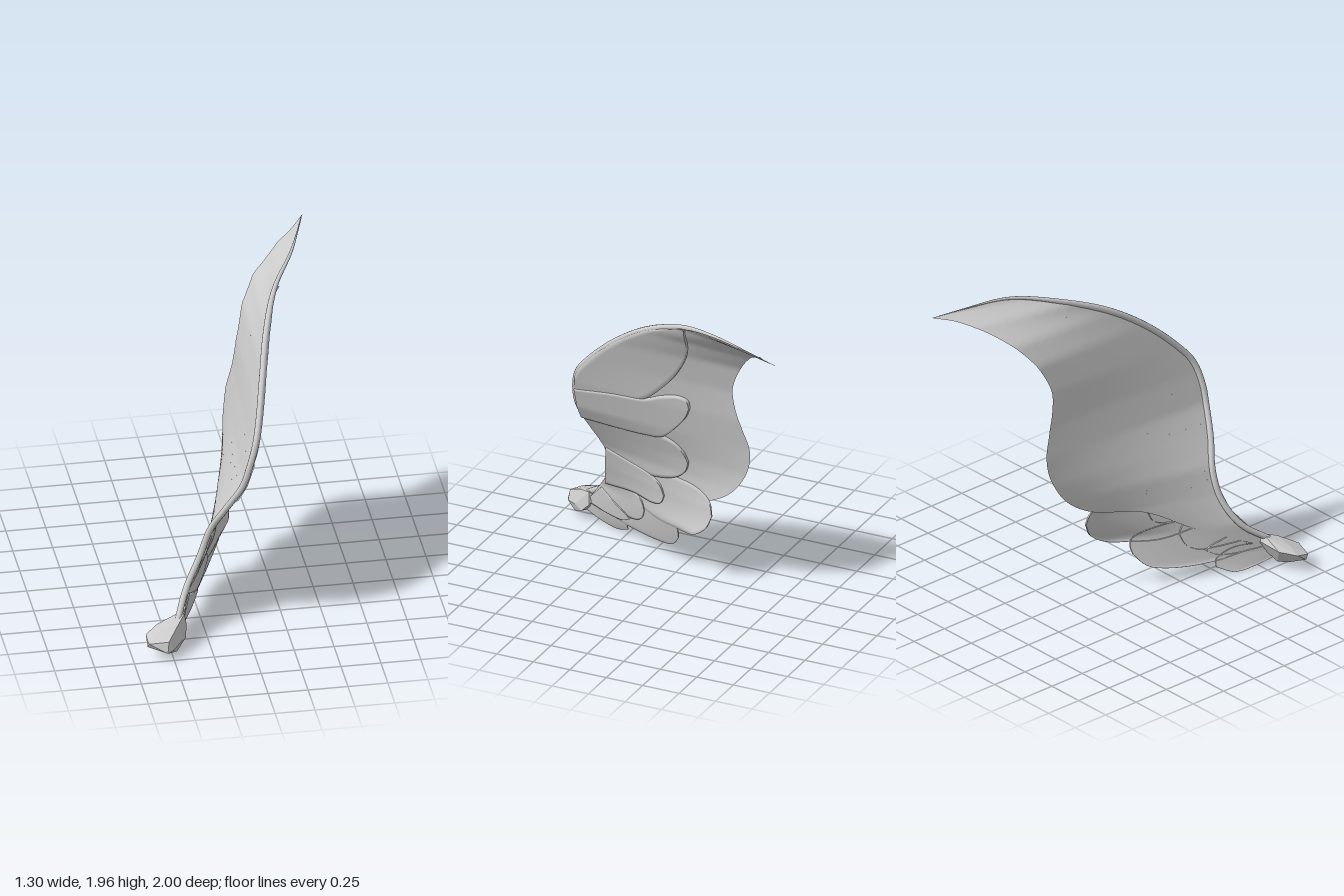
import * as THREE from 'three';
import { ConvexGeometry } from 'three/addons/geometries/ConvexGeometry.js';

const material = new THREE.MeshStandardMaterial({ color: 0xcccccc, side: THREE.DoubleSide });

// Sweep of the wing: at height y, a line from leading (z, x) to trailing (z, x)
const rows = [
  [0, 0.8, -0.46, 0.5, -0.36], [0.1, 0.8, -0.44, 0.15, -0.17], [0.3, 0.65, -0.36, 0, -0.04],
  [0.5, 0.57, -0.25, -0.26, 0.03], [0.67, 0.57, -0.19, -0.42, 0.05], [0.8, 0.61, -0.12, -0.52, 0.065],
  [1, 0.67, -0.01, -0.55, 0.09], [1.2, 0.66, 0.055, -0.48, 0.12], [1.4, 0.55, 0.115, -0.46, 0.14],
  [1.6, 0.34, 0.175, -0.54, 0.19], [1.74, 0.13, 0.23, -0.65, 0.28], [1.86, -0.12, 0.3, -0.8, 0.46],
  [1.925, -0.3, 0.41, -1, 0.65], [1.96, -0.5, 0.5, -1, 0.68],
];
function sweepX(z, y) {
  let i = 0;
  while (i < rows.length - 2 && y > rows[i + 1][0]) i++;
  const k = THREE.MathUtils.clamp((y - rows[i][0]) / (rows[i + 1][0] - rows[i][0]), 0, 1);
  const [, zl, xl, zt, xt] = rows[i].map((v, j) => THREE.MathUtils.lerp(v, rows[i + 1][j], k));
  return THREE.MathUtils.lerp(xl, xt, (z - zl) / (zt - zl));
}

const curve = (pts) => new THREE.CatmullRomCurve3(
  pts.map(([z, y]) => new THREE.Vector3(0, y, z)), false, 'centripetal');

// Curved panel between two (z, y) edges, raised off the sweep, with a thin rim down to it
function panel(name, upper, lower, raise, nu, nv) {
  const a = curve(upper), b = curve(lower), pos = [], index = [];
  for (let i = 0; i <= nu; i++) {
    const p = a.getPoint(i / nu), q = b.getPoint(i / nu);
    for (let j = -1; j <= nv + 1; j++) {
      const edge = j < 0 || j > nv;
      const s = THREE.MathUtils.clamp(j / nv, 0, 1);
      const z = THREE.MathUtils.lerp(p.z, q.z, s), y = THREE.MathUtils.lerp(p.y, q.y, s);
      pos.push(sweepX(z, y) + (edge ? 0 : raise), y, z);
    }
  }
  const w = nv + 3;
  for (let i = 0; i < nu; i++) for (let j = 0; j < w - 1; j++) {
    const k = i * w + j;
    index.push(k, k + w, k + 1, k + 1, k + w, k + w + 1);
  }
  const g = new THREE.BufferGeometry();
  g.setAttribute('position', new THREE.Float32BufferAttribute(pos, 3));
  g.setIndex(index);
  g.computeVertexNormals();
  const mesh = new THREE.Mesh(g, material);
  mesh.name = name;
  return mesh;
}

const leading = [
  [0.82, 0.17], [0.65, 0.3], [0.57, 0.47], [0.56, 0.65], [0.62, 0.82], [0.67, 1], [0.675, 1.12], [0.64, 1.27],
  [0.55, 1.39], [0.35, 1.58], [0.1, 1.75], [-0.2, 1.88], [-0.5, 1.95], [-0.8, 1.94], [-1, 1.925],
];
const trailing = [
  [0.8, 0.12], [0.4, 0.3], [0.1, 0.47], [-0.24, 0.55], [-0.42, 0.67], [-0.53, 0.85], [-0.55, 1], [-0.51, 1.14],
  [-0.47, 1.28], [-0.46, 1.42], [-0.52, 1.57], [-0.62, 1.71], [-0.75, 1.825], [-0.87, 1.89], [-1, 1.925],
];

// Feathers: upper edge, lower edge, both meeting at the rounded tip
const coverFeathers = [
  [[[0.66, 1.2], [0.64, 1.27], [0.55, 1.39], [0.35, 1.58], [0.1, 1.75], [-0.08, 1.83], [-0.22, 1.885]],
    [[0.67, 1.08], [0.4, 1.13], [0.17, 1.2], [0.05, 1.3], [-0.08, 1.45], [-0.18, 1.64], [-0.22, 1.86]]],
  [[[0.67, 1.14], [0.4, 1.18], [0.17, 1.2], [0.05, 1.25], [-0.08, 1.28], [-0.14, 1.26], [-0.15, 1.21]],
    [[0.67, 0.9], [0.4, 0.9], [0.2, 0.91], [0.08, 0.93], [-0.04, 1.04], [-0.12, 1.14], [-0.15, 1.21]]],
  [[[0.66, 0.97], [0.35, 0.95], [0.08, 0.93], [0, 0.9], [-0.06, 0.84], [-0.085, 0.77]],
    [[0.56, 0.6], [0.4, 0.58], [0.23, 0.57], [0.02, 0.63], [-0.06, 0.7], [-0.085, 0.77]]],
  [[[0.56, 0.66], [0.4, 0.62], [0.23, 0.58], [0.15, 0.53], [0.12, 0.46]],
    [[0.64, 0.33], [0.39, 0.38], [0.22, 0.375], [0.15, 0.4], [0.12, 0.46]]],
  [[[0.6, 0.42], [0.48, 0.4], [0.39, 0.38], [0.32, 0.34], [0.3, 0.28]],
    [[0.76, 0.2], [0.5, 0.17], [0.4, 0.17], [0.33, 0.21], [0.3, 0.28]]],
  [[[0.68, 0.28], [0.56, 0.22], [0.47, 0.18], [0.44, 0.155]],
    [[0.82, 0.13], [0.6, 0.11], [0.5, 0.12], [0.44, 0.155]]],
];
const lowerFeathers = [
  [[[0.5, 0.55], [0.22, 0.6], [0, 0.62], [-0.15, 0.6], [-0.245, 0.54], [-0.27, 0.46]],
    [[0.5, 0.35], [0.2, 0.27], [0.01, 0.28], [-0.13, 0.3], [-0.23, 0.37], [-0.27, 0.46]]],
  [[[0.6, 0.4], [0.3, 0.38], [0.05, 0.32], [0.01, 0.26], [0.015, 0.2]],
    [[0.7, 0.12], [0.47, 0.08], [0.2, 0.085], [0.08, 0.12], [0.015, 0.2]]],
  [[[0.82, 0.15], [0.6, 0.15], [0.49, 0.09], [0.48, 0.045]],
    [[0.84, 0.05], [0.72, 0.015], [0.58, 0.0], [0.48, 0.045]]],
];

// Rounded leading edge, thinning out towards the wing tip
function leadingEdge() {
  const path = new THREE.CatmullRomCurve3(
    leading.map(([z, y]) => new THREE.Vector3(sweepX(z, y) - 0.005, y, z)), false, 'centripetal');
  const n = 100, sides = 10;
  const g = new THREE.TubeGeometry(path, n, 0.02, sides);
  const p = g.attributes.position, v = new THREE.Vector3();
  for (let i = 0; i < p.count; i++) {
    const t = Math.floor(i / (sides + 1)) / n;
    const taper = Math.min(1, (1 - t) * 3);
    v.fromBufferAttribute(p, i).lerp(path.getPointAt(t), 1 - taper);
    p.setXYZ(i, v.x, v.y, v.z);
  }
  const mesh = new THREE.Mesh(g, material);
  mesh.name = 'leadingEdge';
  return mesh;
}

// Faceted shoulder joint at the root
function shoulder() {
  const pts = [
    [-0.655, 0.07, 0.93], [-0.655, 0.12, 0.86], [-0.65, 0.1, 0.95], [-0.57, 0.14, 0.78], [-0.56, 0.155, 0.87],
    [-0.54, 0.05, 1], [-0.5, 0.06, 0.98], [-0.53, 0.12, 0.98], [-0.47, 0.015, 0.92], [-0.55, 0.03, 0.93],
    [-0.5, 0.03, 0.83], [-0.58, 0.05, 0.85], [-0.4, 0.2, 0.79], [-0.45, 0.2, 0.78], [-0.45, 0.18, 0.87],
    [-0.385, 0.12, 0.78], [-0.4, 0.06, 0.84], [-0.43, 0.08, 0.9], [-0.43, 0.17, 0.75],
  ].map((p) => new THREE.Vector3(...p));
  const mesh = new THREE.Mesh(new ConvexGeometry(pts),
    new THREE.MeshStandardMaterial({ color: 0xcccccc, flatShading: true }));
  mesh.name = 'shoulder';
  return mesh;
}

export function createModel() {
  const wing = new THREE.Group();
  wing.name = 'wing';
  wing.add(panel('membrane', leading, trailing, 0, 90, 24), leadingEdge(), shoulder());
  coverFeathers.forEach(([u, l], i) =>
    wing.add(panel(`coverFeather${i + 1}`, u, l, i % 2 ? 0.026 : 0.02, 48, 14)));
  lowerFeathers.forEach(([u, l], i) =>
    wing.add(panel(`lowerFeather${i + 1}`, u, l, 0.012 - i * 0.003, 48, 14)));
  return wing;
}
